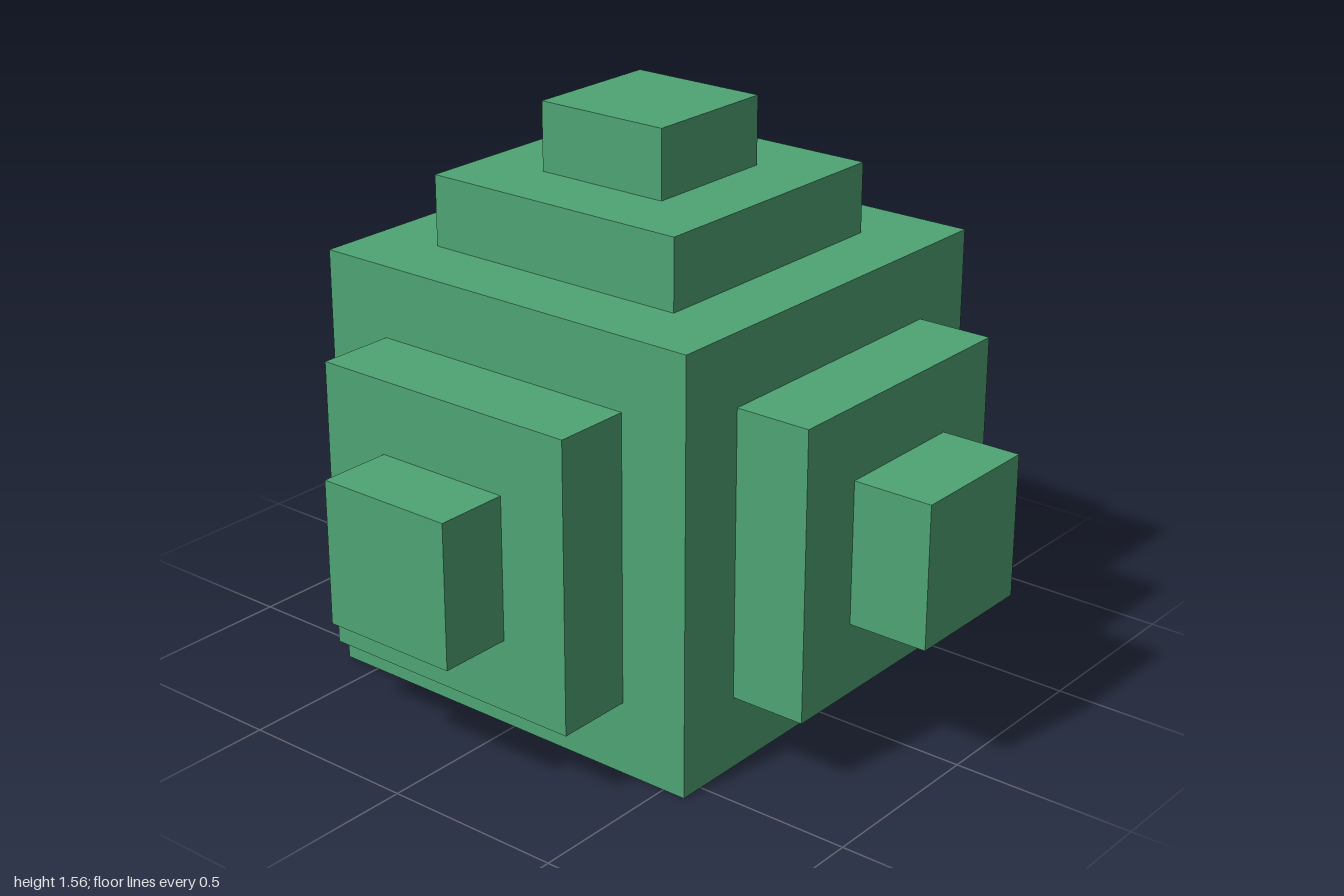
import * as THREE from 'three';

const material = new THREE.MeshStandardMaterial({ color: 0x4fa574, flatShading: true });

// Box given by its [min, max] range on each axis
function block(name, x, y, z) {
  const size = [x, y, z].map(([a, b]) => b - a);
  const centre = [x, y, z].map(([a, b]) => (a + b) / 2);
  const mesh = new THREE.Mesh(new THREE.BoxGeometry(...size), material);
  mesh.position.set(...centre);
  mesh.name = name;
  return mesh;
}

export function createModel() {
  const model = new THREE.Group();
  model.name = 'steppedCube';

  // Central cube
  const core = [[-0.61, 0.566], [0, 1.18], [-0.608, 0.567]];
  model.add(block('core', ...core));

  // Square footprints of the wide and narrow steps, per axis
  const wide = [[-0.415, 0.37], [0.2, 0.985], [-0.412, 0.37]];
  const narrow = [[-0.22, 0.172], [0.396, 0.786], [-0.217, 0.174]];

  // Two steps on every face but the bottom: axis, and heights along it
  const faces = [
    ['left', 0, [0.566, 0.777, 1]],
    ['right', 0, [-0.61, -0.803, -1]],
    ['top', 1, [1.18, 1.373, 1.56]],
    ['front', 2, [0.567, 0.783, 0.985]],
    ['back', 2, [-0.608, -0.808, -0.985]],
  ];
  for (const [name, axis, levels] of faces) {
    [wide, narrow].forEach((footprint, i) => {
      const ranges = [...footprint];
      ranges[axis] = [levels[i], levels[i + 1]].sort((a, b) => a - b);
      model.add(block(name + (i ? 'NarrowStep' : 'WideStep'), ...ranges));
    });
  }
  return model;
}
